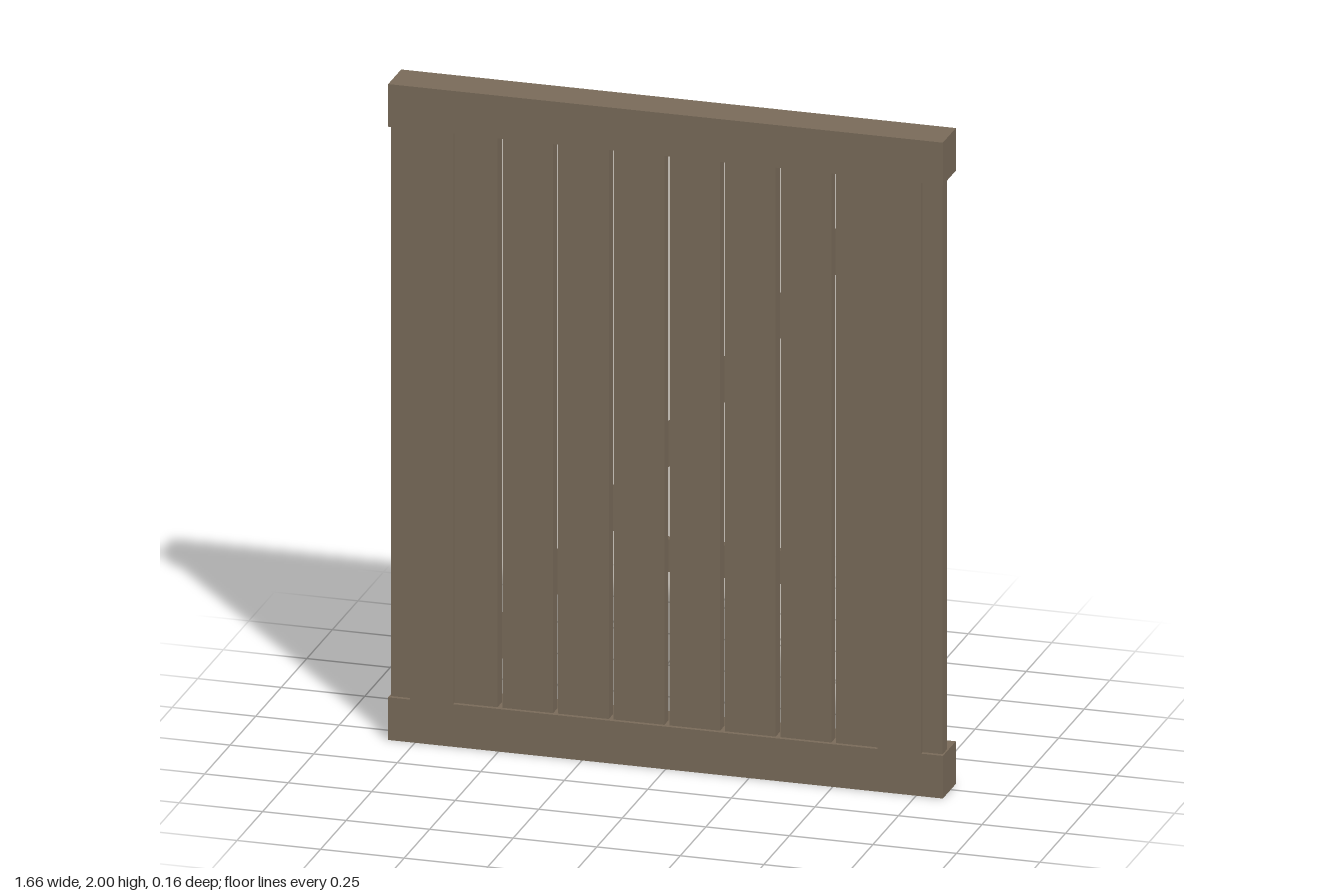
import * as THREE from 'three';

export function createModel() {
  const model = new THREE.Group();
  model.name = 'plankDoor';
  const wood = new THREE.MeshStandardMaterial({ color: 0x7a6c5a });
  wood.name = 'weatheredWood';

  function add(name, geometry, x = 0, y = 0, z = 0) {
    const mesh = new THREE.Mesh(geometry, wood);
    mesh.name = name;
    mesh.position.set(x, y, z);
    model.add(mesh);
    return mesh;
  }

  // Frame: two wide rails joined by two inset stiles, with an open middle
  const railX = 0.83, outerX = 0.765, innerX = 0.635, low = 0.13, high = 1.87;
  const frontZ = 0.077, backZ = -0.05;
  const right = [[railX, 0], [railX, low], [outerX, low], [outerX, high], [railX, high], [railX, 2]];
  const left = right.map(([x, y]) => [-x, y]).reverse();
  const outline = [...right, ...left].map(([x, y]) => new THREE.Vector2(x, y));
  const shape = new THREE.Shape(outline);
  shape.holes.push(new THREE.Path([
    new THREE.Vector2(-innerX, low), new THREE.Vector2(-innerX, high),
    new THREE.Vector2(innerX, high), new THREE.Vector2(innerX, low),
  ]));
  add('frame', new THREE.ExtrudeGeometry(shape, { depth: frontZ - backZ, bevelEnabled: false }), 0, 0, backZ);

  // Ten upright planks with narrow gaps, the outer ones showing past the stiles
  const pitch = 0.1665;
  const plank = new THREE.BoxGeometry(0.152, high - low + 0.04, 0.042);
  for (let i = 0; i < 10; i++) {
    add('plank' + (i + 1), plank, (i - 4.5) * pitch, 1, 0.043);
  }

  // Diagonal brace across the back
  const brace = add('diagonalBrace', new THREE.BoxGeometry(2.034, 0.087, 0.026), 0, 0.982, -0.063);
  brace.rotation.z = Math.atan(1.28);

  // Short cross batten on the back
  add('crossBatten', new THREE.BoxGeometry(0.41, 0.1, 0.025), 0.165, 0.602, -0.0655);

  return model;
}
